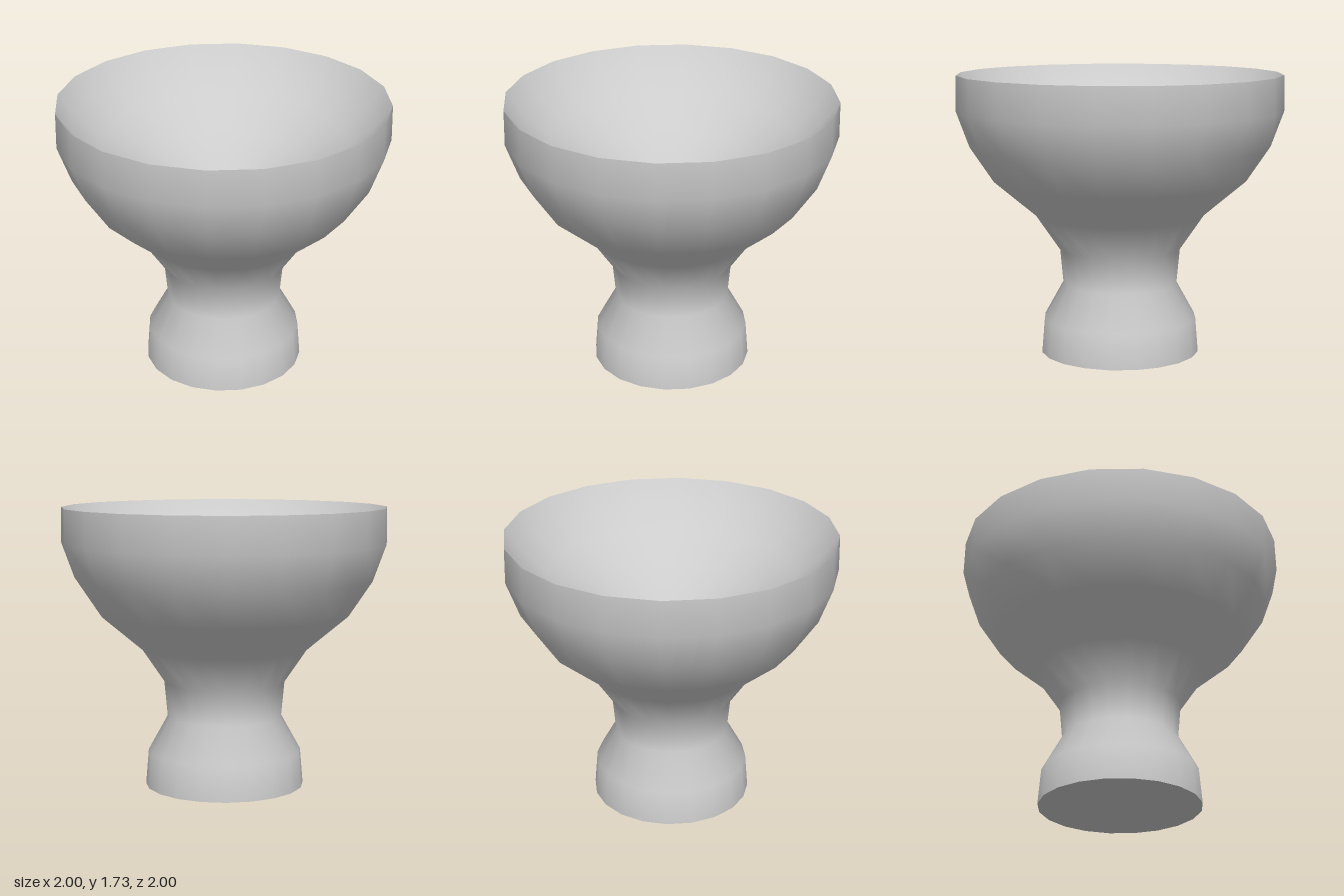
import * as THREE from 'three';

const SIDES = 20;

export function createModel() {
  const group = new THREE.Group();
  group.name = 'goblet';
  const material = new THREE.MeshStandardMaterial({ color: 0xcccccc, side: THREE.DoubleSide });

  const addLathe = (name, profile) => {
    const points = profile.map(([r, y]) => new THREE.Vector2(r, y));
    const mesh = new THREE.Mesh(new THREE.LatheGeometry(points, SIDES), material);
    mesh.name = name;
    group.add(mesh);
  };

  // Outer wall: foot, waist and flaring bowl in equal height steps
  const step = 1.73 / 8;
  const radii = [0.493, 0.475, 0.355, 0.375, 0.522, 0.778, 0.922, 1, 0.996];
  addLathe('outerWall', radii.map((r, i) => [r, i * step]));

  // Shallow dished hollow, meeting the outer wall in a sharp rim
  addLathe('bowlInterior', [
    [0.996, 1.73], [0.9, 1.6], [0.75, 1.47], [0.5, 1.31], [0.25, 1.18], [0, 1.12],
  ]);

  // Flat underside of the foot
  addLathe('footBase', [[0, 0], [0.493, 0]]);

  return group;
}
